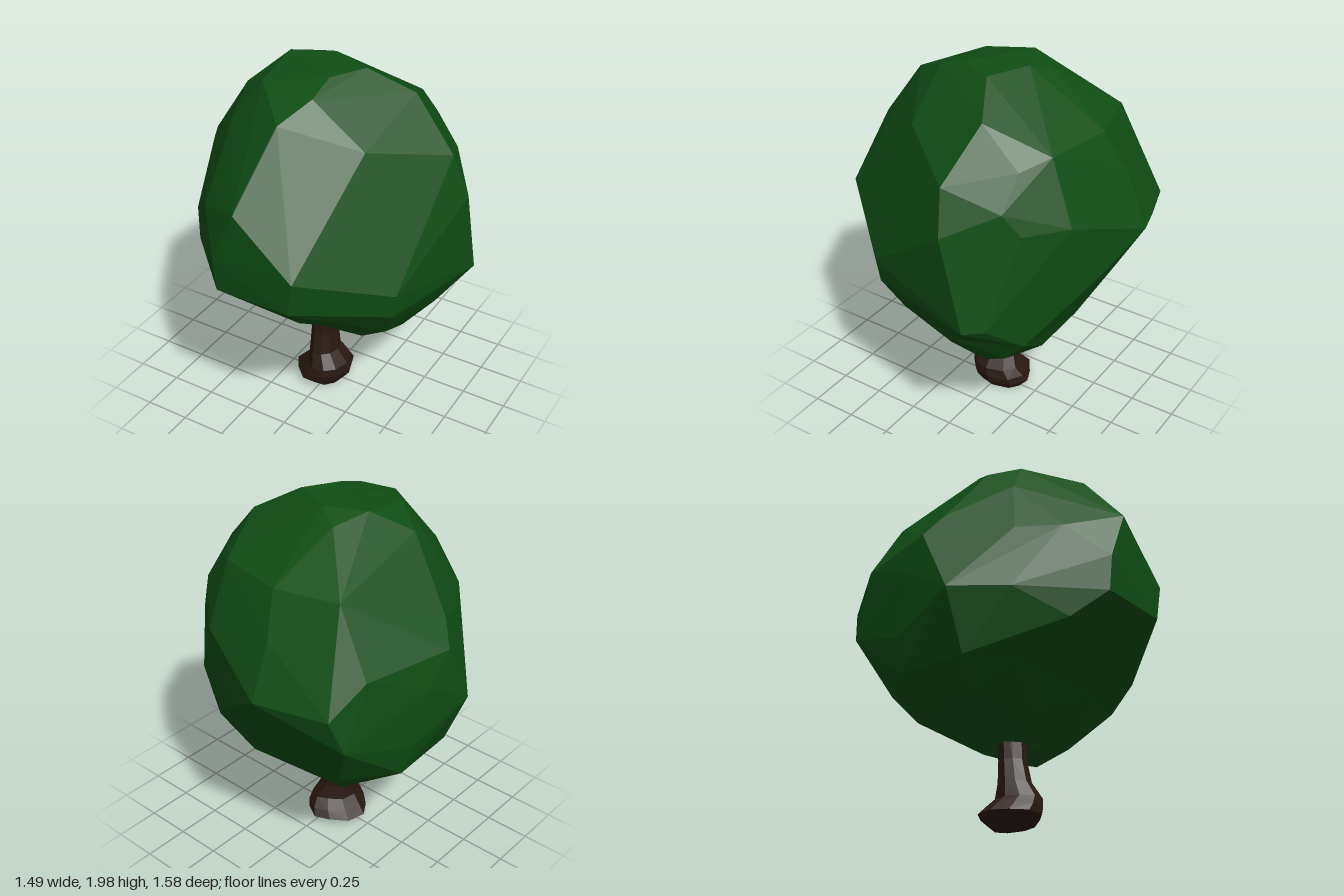
import * as THREE from 'three';
import { ConvexGeometry } from 'three/addons/geometries/ConvexGeometry.js';

// Crown cross-sections: height, then the [x, z] corners at that height
const CROWN_BASE = [
  [0.43, [-0.11, 0.12], [0.18, 0.06], [0.24, -0.14], [-0.1, -0.08]],
  [0.47, [0.4, -0.18]],
  [0.55, [0.46, 0], [0.42, -0.32], [0.22, -0.42], [-0.36, -0.36], [-0.5, -0.04],
    [-0.5, 0.12], [-0.14, 0.23], [0.32, 0.2]],
];
const CROWN_WAIST = [
  [0.7, [0.5, 0.27], [0.2, 0.34], [-0.4, 0.34], [-0.62, 0.18], [-0.64, -0.22],
    [-0.44, -0.48], [0.05, -0.52], [0.45, -0.45], [0.6, -0.1]],
];
const CROWN_TOP = [
  [0.88, [0.74, -0.27], [0.66, -0.36], [0.58, 0.36], [0.2, 0.64], [-0.32, 0.61],
    [-0.5, 0.41], [-0.69, -0.2], [-0.52, -0.56], [0.2, -0.58]],
  [1.02, [-0.75, 0.18], [0.22, 0.77], [-0.2, 0.77], [-0.55, 0.43], [-0.6, -0.62],
    [0.1, -0.68], [0.6, 0.37]],
  [1.21, [0.25, 0.78], [-0.2, 0.79], [-0.55, -0.68], [-0.16, -0.79], [0.71, -0.12], [-0.73, -0.13]],
  [1.38, [0.73, -0.14], [0.5, -0.46], [0.3, -0.62], [-0.36, 0.61], [-0.5, 0.41],
    [-0.63, -0.5], [-0.74, 0]],
  [1.5, [-0.07, 0.785], [-0.66, 0.07], [-0.16, -0.67], [0.55, -0.38]],
  [1.61, [0.65, -0.1]],
  [1.67, [0.42, -0.39]],
  [1.72, [0.28, -0.49], [-0.44, -0.47], [-0.1, -0.56], [-0.39, 0.31], [0.36, 0.28]],
  [1.86, [0, 0.49], [0.4, -0.17], [-0.4, 0.14]],
  [1.94, [0.08, 0.3], [-0.24, 0.24], [-0.18, -0.22]],
  [1.99, [-0.26, -0.05], [-0.05, -0.15], [0.18, -0.05], [0.08, 0.14]],
];

// Trunk outline scaled to -1..1, running from +x towards +z
const TRUNK_PLAN = [
  [1, 0], [0.8, 0.6], [0.35, 0.95], [-0.25, 1], [-0.7, 0.6],
  [-1, 0.15], [-0.85, -0.45], [-0.3, -0.8], [0.2, -1], [0.75, -0.7],
];
// Trunk cross-sections: y, xMin, xMax, zMin, zMax
const TRUNK = [
  [0.01, -0.1, 0.09, -0.15, 0.12],
  [0.05, -0.21, 0.12, -0.19, 0.16],
  [0.09, -0.17, 0.13, -0.17, 0.16],
  [0.14, -0.12, 0.12, -0.13, 0.15],
  [0.22, -0.115, 0.06, -0.09, 0.11],
  [0.34, -0.11, 0.045, -0.08, 0.085],
  [0.6, -0.12, 0.06, -0.08, 0.08],
];

// Faceted solid wrapped around the corners of the sections
function wrap(sections) {
  return new ConvexGeometry(sections.flatMap(([y, ...corners]) =>
    corners.map(([x, z]) => new THREE.Vector3(x, y, z))));
}

// Joins the trunk sections into a tube closed at the foot
function loft(sections, plan) {
  const n = plan.length;
  const pos = [];
  const index = [];
  sections.forEach(([y, x0, x1, z0, z1], r) => {
    plan.forEach(([px, pz], i) => {
      pos.push((x0 + x1) / 2 + ((x1 - x0) / 2) * px, y, (z0 + z1) / 2 + ((z1 - z0) / 2) * pz);
      if (r === 0) return;
      const c = r * n + i, d = r * n + ((i + 1) % n);
      const a = c - n, b = d - n;
      // alternate diagonals to break up the facets
      if ((i + r) % 2) index.push(a, c, b, b, c, d);
      else index.push(a, c, d, a, d, b);
    });
  });
  for (let i = 1; i < n - 1; i++) index.push(0, i, i + 1);
  const geo = new THREE.BufferGeometry();
  geo.setAttribute('position', new THREE.Float32BufferAttribute(pos, 3));
  geo.setIndex(index);
  geo.computeVertexNormals();
  return geo;
}

export function createModel() {
  const group = new THREE.Group();
  group.name = 'tree';
  const bark = new THREE.MeshStandardMaterial({ color: 0x2a1912, flatShading: true });
  const leaves = new THREE.MeshStandardMaterial({ color: 0x104e15, flatShading: true });
  const add = (name, geo, material) => {
    const mesh = new THREE.Mesh(geo, material);
    mesh.name = name;
    group.add(mesh);
  };

  // Trunk with flared roots, running up inside the crown
  add('trunk', loft(TRUNK, TRUNK_PLAN), bark);
  // Narrow underside of the crown, then the mass that overhangs it
  add('crownUnderside', wrap([...CROWN_BASE, ...CROWN_WAIST]), leaves);
  add('crown', wrap([...CROWN_WAIST, ...CROWN_TOP]), leaves);
  return group;
}
